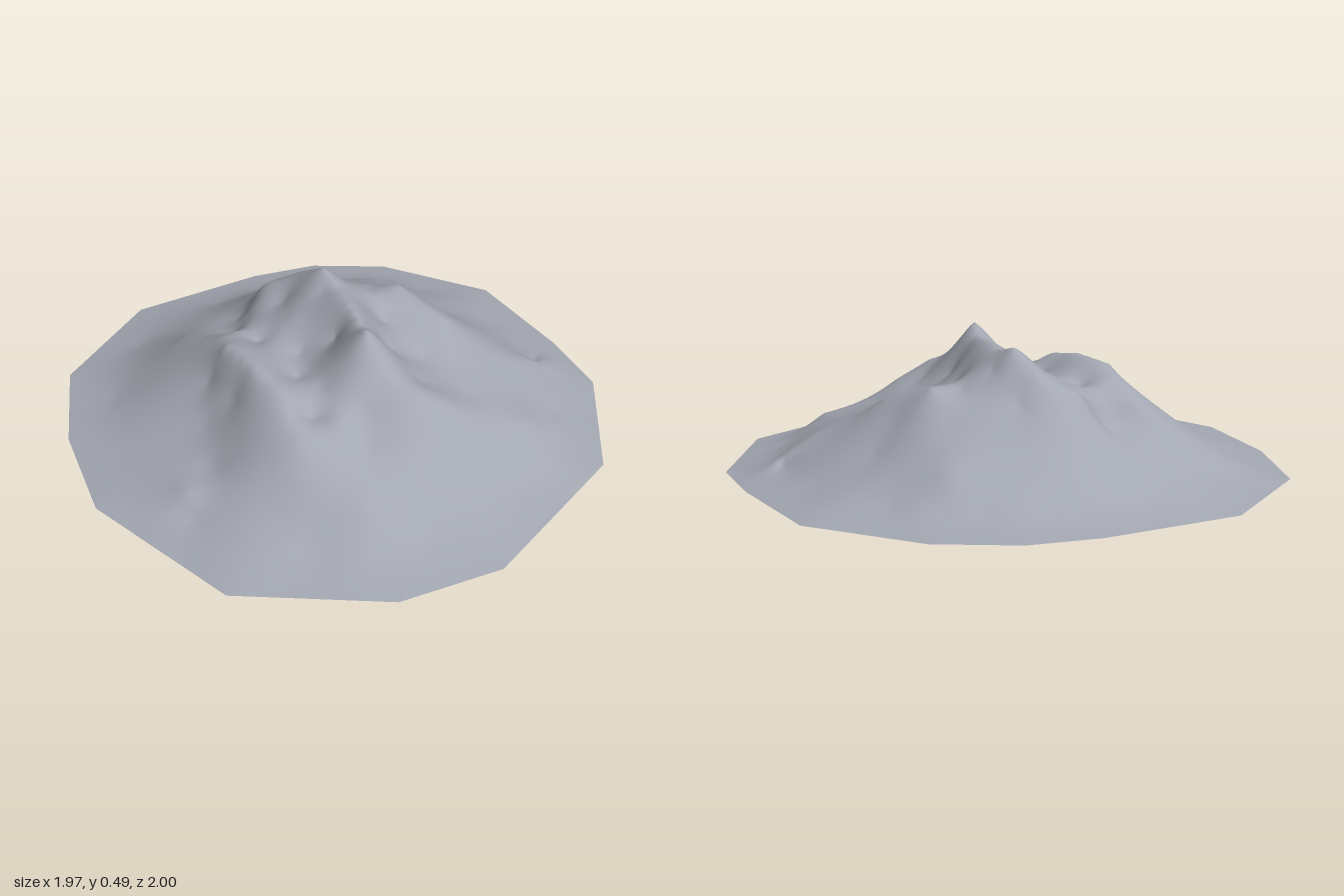
import * as THREE from 'three';

// Ground outline corners (x, z), counter-clockwise from above
const OUTLINE = [
  [-0.22, -1.0], [-0.67, -0.8], [-0.87, -0.47], [-0.985, -0.09], [-0.87, 0.53], [-0.45, 0.9], [-0.08, 1.0],
  [0.56, 0.84], [0.88, 0.48], [0.94, 0.21], [0.98, -0.23], [0.76, -0.63], [0.53, -0.82], [0.29, -0.91],
];

// Crest lines (x, height, z)
const RIDGES = {
  mainCrest: [[-0.02, 0.49, 0.2], [0.015, 0.455, 0.14], [0.06, 0.46, 0], [0.1, 0.45, -0.12], [0.12, 0.475, -0.22],
    [0.11, 0.4, -0.34], [0, 0.33, -0.44], [-0.11, 0.26, -0.39], [-0.18, 0.29, -0.3], [-0.3, 0.325, -0.27]],
  shoulder: [[0.19, 0.4, -0.2], [0.3, 0.335, -0.16], [0.39, 0.345, -0.11], [0.44, 0.285, 0.1],
    [0.37, 0.24, 0.22], [0.49, 0.2, 0.23], [0.62, 0.13, 0.31], [0.77, 0.055, 0.3]],
  frontSpur: [[-0.02, 0.49, 0.2], [-0.05, 0.37, 0.3], [0.03, 0.32, 0.42], [0.15, 0.25, 0.47]],
  leftRidge: [[-0.41, 0.27, 0.32], [-0.35, 0.345, 0.14], [-0.37, 0.36, 0], [-0.36, 0.35, -0.18],
    [-0.3, 0.325, -0.27], [-0.32, 0.2, -0.5]],
  innerRib: [[0.06, 0.43, -0.15], [-0.12, 0.33, -0.17]],
};

// Hollows, ledges and slopes (x, height, z)
const SLOPES = [
  // summit basins and ledges
  [-0.22, 0.29, 0.06], [-0.13, 0.3, -0.04], [-0.2, 0.29, -0.2], [-0.01, 0.335, -0.3], [-0.03, 0.37, 0.04],
  [0.22, 0.31, 0], [0.25, 0.24, 0.2], [0.12, 0.325, 0.15], [0.12, 0.28, 0.33], [0.28, 0.19, 0.43],
  [-0.25, 0.285, 0.34], [-0.14, 0.285, 0.35], [-0.2, 0.31, 0.18], [-0.3, 0.27, 0.25], [-0.2, 0.215, 0.42],
  // steep drops below the crests
  [-0.44, 0.25, -0.02], [-0.43, 0.24, -0.18], [-0.2, 0.225, -0.37], [-0.09, 0.21, -0.46], [0.01, 0.26, -0.49],
  [0.2, 0.31, -0.36], [0.5, 0.235, -0.05], [0.41, 0.25, -0.27],
  // outer flanks
  [0, 0.16, 0.6], [-0.35, 0.135, 0.6], [0.4, 0.125, 0.6], [-0.52, 0.165, -0.07], [-0.62, 0.11, 0.1],
  [-0.75, 0.085, 0.13], [-0.57, 0.115, 0.4], [-0.55, 0.11, -0.45], [0.6, 0.145, -0.08], [0.54, 0.14, -0.43],
  [0.09, 0.25, -0.53], [-0.1, 0.16, -0.58], [0.25, 0.175, -0.56], [0.05, 0.1, -0.7],
];

const kernel = (dx, dz) => Math.pow(dx * dx + dz * dz, 0.6);
const mix = (a, b, f) => a.map((v, i) => v + (b[i] - v) * f);

// Solve a small dense linear system with row pivoting
function solve(rows) {
  const n = rows.length;
  for (let c = 0; c < n; c++) {
    let p = c;
    for (let r = c + 1; r < n; r++) if (Math.abs(rows[r][c]) > Math.abs(rows[p][c])) p = r;
    [rows[c], rows[p]] = [rows[p], rows[c]];
    for (let r = c + 1; r < n; r++) {
      const f = rows[r][c] / rows[c][c];
      for (let k = c; k <= n; k++) rows[r][k] -= f * rows[c][k];
    }
  }
  const w = new Array(n).fill(0);
  for (let r = n - 1; r >= 0; r--) {
    let s = rows[r][n];
    for (let k = r + 1; k < n; k++) s -= rows[r][k] * w[k];
    w[r] = s / rows[r][r];
  }
  return w;
}

// Height function that passes through every crest, slope and outline point
function makeTerrain() {
  const pts = [];
  const add = (p) => {
    if (!pts.some((q) => Math.hypot(p[0] - q[0], p[2] - q[2]) < 0.01)) pts.push(p);
  };
  for (const line of Object.values(RIDGES)) {
    line.forEach((p, i) => {
      add(p);
      if (i + 1 < line.length) {
        add(mix(p, line[i + 1], 1 / 3));
        add(mix(p, line[i + 1], 2 / 3));
      }
    });
  }
  SLOPES.forEach(add);
  OUTLINE.forEach((a, i) => {
    for (const f of [0, 0.25, 0.5, 0.75]) {
      const [x, z] = mix(a, OUTLINE[(i + 1) % OUTLINE.length], f);
      add([x, 0, z]);
      if (f % 0.5 === 0) add([x * 0.83, 0.042, z * 0.83]);
    }
  });
  const n = pts.length;
  const rows = pts.map((a) => [...pts.map((b) => kernel(a[0] - b[0], a[2] - b[2])), 1, a[1]]);
  rows.push([...new Array(n).fill(1), 0, 0]);
  const w = solve(rows);
  return (x, z) => pts.reduce((s, p, i) => s + w[i] * kernel(x - p[0], z - p[2]), w[n]);
}

export function createModel() {
  const height = makeTerrain();
  const rings = 80, perEdge = 12, around = OUTLINE.length * perEdge;
  const pos = [0, height(0, 0), 0], index = [];

  // Rings grow from the centre out to the flat outline
  for (let r = 1; r <= rings; r++) {
    const t = r / rings;
    for (let s = 0; s < around; s++) {
      const e = Math.floor(s / perEdge);
      const [ox, oz] = mix(OUTLINE[e], OUTLINE[(e + 1) % OUTLINE.length], (s % perEdge) / perEdge);
      pos.push(t * ox, r === rings ? 0 : Math.max(0, height(t * ox, t * oz)), t * oz);
    }
  }
  const id = (r, s) => 1 + (r - 1) * around + (s % around);
  for (let s = 0; s < around; s++) {
    index.push(0, id(1, s), id(1, s + 1));
    for (let r = 1; r < rings; r++) {
      index.push(id(r, s), id(r + 1, s), id(r + 1, s + 1), id(r, s), id(r + 1, s + 1), id(r, s + 1));
    }
  }
  const geo = new THREE.BufferGeometry();
  geo.setAttribute('position', new THREE.Float32BufferAttribute(pos, 3));
  geo.setIndex(index);
  geo.computeVertexNormals();

  // Open shell, visible from below too
  const rock = new THREE.MeshStandardMaterial({ color: 0xa3a7b1, side: THREE.DoubleSide });
  rock.name = 'grey rock';
  const mountain = new THREE.Mesh(geo, rock);
  mountain.name = 'mountain';

  const group = new THREE.Group();
  group.name = 'mountainModel';
  group.add(mountain);
  return group;
}
